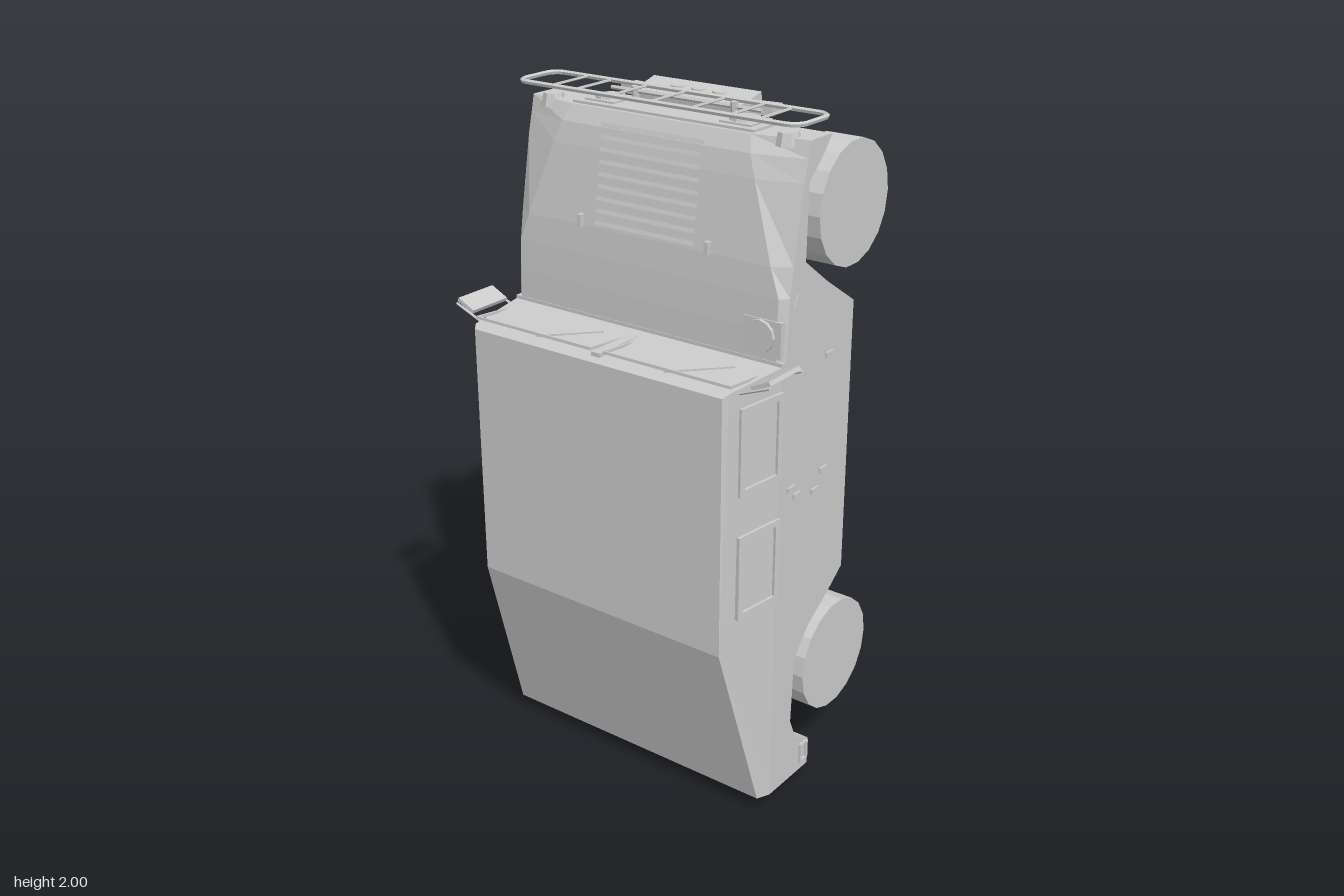
import * as THREE from 'three';

// The vehicle stands on its tail: +y is its nose, +z is its roof.
const mat = new THREE.MeshStandardMaterial({ color: 0xcccccc, flatShading: true, side: THREE.DoubleSide });

export function createModel() {
  const root = new THREE.Group();

  const add = (name, geo, x = 0, y = 0, z = 0) => {
    const m = new THREE.Mesh(geo, mat);
    m.name = name;
    m.position.set(x, y, z);
    root.add(m);
    return m;
  };
  const box = (name, x, y, z, w, h, d) => add(name, new THREE.BoxGeometry(w, h, d), x, y, z);

  // Tapered round bar between two points
  const bar = (name, a, b, r0, r1 = r0, sides = 6) => {
    const p = new THREE.Vector3(...a), q = new THREE.Vector3(...b);
    const m = add(name, new THREE.CylinderGeometry(r1, r0, p.distanceTo(q), sides));
    m.position.copy(p).add(q).multiplyScalar(0.5);
    m.quaternion.setFromUnitVectors(new THREE.Vector3(0, 1, 0), q.sub(p).normalize());
    return m;
  };

  // Side profile of [z, y] points extruded across the width
  const sideExtrude = (pts, width) => {
    const shape = new THREE.Shape(pts.map(p => new THREE.Vector2(...p)));
    const g = new THREE.ExtrudeGeometry(shape, { depth: width, bevelEnabled: false });
    return g.translate(0, 0, -width / 2).rotateY(-Math.PI / 2);
  };

  // Rings of [x, z] points joined at increasing y, with end caps
  const loft = (stations) => {
    const v = [], n = stations[0].ring.length;
    const put = (i, j) => v.push(stations[i].ring[j % n][0], stations[i].y, stations[i].ring[j % n][1]);
    for (let i = 0; i < stations.length - 1; i++) for (let j = 0; j < n; j++) {
      put(i, j); put(i + 1, j + 1); put(i, j + 1);
      put(i, j); put(i + 1, j); put(i + 1, j + 1);
    }
    const last = stations.length - 1;
    for (let j = 1; j < n - 1; j++) {
      put(last, 0); put(last, j + 1); put(last, j);
      put(0, 0); put(0, j); put(0, j + 1);
    }
    const g = new THREE.BufferGeometry();
    g.setAttribute('position', new THREE.Float32BufferAttribute(v, 3));
    g.computeVertexNormals();
    return g;
  };

  // Rectangular frame lying in XY, with a rectangular hole
  const frame = (w, h, t, depth) => {
    const rect = (C, a, b) => new C([[-a, -b], [a, -b], [a, b], [-a, b]].map(p => new THREE.Vector2(...p)));
    const s = rect(THREE.Shape, w / 2, h / 2);
    s.holes.push(rect(THREE.Path, w / 2 - t, h / 2 - t));
    return new THREE.ExtrudeGeometry(s, { depth, bevelEnabled: false }).translate(0, 0, -depth / 2);
  };

  // Lower body with the rear wheel arch
  add('lowerBody', sideExtrude([[0.15, 1.38], [0.15, 0.03], [-0.05, 0.03], [-0.05, 0.12], [0.02, 0.16],
    [0.05, 0.23], [0.04, 0.44], [-0.03, 0.52], [-0.135, 0.59], [-0.2, 0.64], [-0.2, 1.38]], 0.92));

  // Cabin, leaning inward towards the roof
  const cabin = sideExtrude([[0.15, 1.37], [0.35, 1.355], [0.365, 1.345], [0.365, 0.59], [0.205, 0.045], [0.15, 0.03]], 0.92);
  const cp = cabin.attributes.position;
  const halfAt = z => 0.46 - 0.13 * Math.max(0, z - 0.15) - (z > 0.36 ? 0.008 : 0);
  for (let i = 0; i < cp.count; i++) cp.setX(i, Math.sign(cp.getX(i)) * halfAt(cp.getZ(i)));
  cabin.computeVertexNormals();
  add('cabin', cabin);

  // Bonnet and fenders: y, arch height, edge height, crease half width, top height
  const hood = [[1.38, -0.2, 0.13, 0.44, 0.148], [1.46, -0.2, 0.125, 0.44, 0.147], [1.55, -0.06, 0.12, 0.44, 0.143],
    [1.63, 0.05, 0.108, 0.41, 0.138], [1.84, 0.045, 0.07, 0.335, 0.108], [1.9, -0.02, 0.055, 0.312, 0.096],
    [1.945, -0.055, 0.045, 0.297, 0.075]];
  add('bonnet', loft(hood.map(([y, zb, ze, c, zt]) => ({
    y, ring: [[0.46, zb], [0.46, ze], [c, zt], [-c, zt], [-0.46, ze], [-0.46, zb]]
  }))));

  // Bonnet louvres, following the slope
  for (let i = 0; i < 9; i++) {
    const y = 1.645 + i * 0.033;
    box('louvre', 0, y, 0.137 - 0.14 * Math.max(0, y - 1.64), 0.33, 0.011, 0.012).rotation.x = -0.3;
  }
  box('airIntakeBase', 0.395, 1.44, 0.135, 0.12, 0.1, 0.03);
  add('airIntake', new THREE.CylinderGeometry(0.045, 0.045, 0.03, 12).rotateX(Math.PI / 2), 0.392, 1.445, 0.145);

  // Nose panel and lamps
  box('nosePanel', 0, 1.945, 0.003, 0.6, 0.014, 0.12);
  for (const s of [-1, 1]) {
    box('headlampHousing', s * 0.225, 1.95, -0.008, 0.1, 0.014, 0.1);
    add('headlamp', new THREE.CylinderGeometry(0.042, 0.045, 0.012, 10), s * 0.225, 1.958, -0.008);
    add('cornerLamp', new THREE.CylinderGeometry(0.028, 0.036, 0.035, 8), s * 0.39, 1.94, 0.04);
    add('bonnetHook', new THREE.BoxGeometry(0.012, 0.035, 0.02), s * 0.215, 1.645, 0.142);
  }

  // Front guard: rounded loop with rungs
  const W = 0.462, top = 0.11, low = -0.05, r = 0.035, loop = [];
  for (const [cx, cz, a0] of [[W - r, top - r, 0], [r - W, top - r, 1], [r - W, low + r, 2], [W - r, low + r, 3]])
    for (let k = 0; k <= 3; k++) {
      const a = (a0 + k / 3) * Math.PI / 2;
      loop.push(new THREE.Vector3(cx + r * Math.cos(a), 1.993, cz + r * Math.sin(a)));
    }
  const path = new THREE.CurvePath();
  loop.forEach((p, i) => path.add(new THREE.LineCurve3(p, loop[(i + 1) % loop.length])));
  add('guardLoop', new THREE.TubeGeometry(path, 160, 0.007, 5, true));
  for (const x of [-0.34, -0.255, -0.13, 0, 0.13, 0.255, 0.34])
    bar('guardRung', [x, 1.993, low], [x, 1.993, top], 0.004, 0.004, 5);
  bar('guardRail', [-0.25, 1.975, -0.045], [0.25, 1.975, -0.045], 0.006);

  // Winch bumper below the nose
  add('winchBumper', sideExtrude([[-0.05, 1.98], [-0.09, 1.985], [-0.145, 2.0], [-0.15, 1.975], [-0.115, 1.965], [-0.1, 1.88], [-0.06, 1.88]], 0.36));
  for (const s of [-1, 1]) {
    box('bumperEnd', s * 0.215, 1.965, -0.115, 0.07, 0.025, 0.06).rotation.y = s * 0.12;
    bar('guardBracket', [s * 0.165, 1.9, -0.05], [s * 0.165, 1.99, -0.04], 0.01);
  }
  for (const x of [-0.07, 0, 0.07])
    add('bumperHole', new THREE.CylinderGeometry(0.024, 0.024, 0.008, 12), x, 1.988, -0.115);

  // Windscreen panes and wipers
  for (const s of [-1, 1]) {
    const pane = add('windscreenPane', frame(0.415, 0.19, 0.006, 0.008), s * 0.228, 1.364, 0.25);
    pane.rotation.x = -Math.PI / 2 - 0.08;
    bar('wiper', [s * 0.22 - 0.0, 1.363, 0.34], [s * 0.22 + 0.14, 1.37, 0.215], 0.004, 0.003, 4);
  }
  box('screenPillar', 0, 1.362, 0.25, 0.03, 0.012, 0.2);

  // Side windows, door details and mirrors
  for (const s of [-1, 1]) {
    for (const y of [1.178, 0.81]) {
      const g = new THREE.Group();
      g.name = 'sideWindow';
      const rim = new THREE.Mesh(frame(0.165, 0.25, 0.018, 0.014), mat);
      rim.name = 'windowFrame';
      g.add(rim);
      g.position.set(s * 0.451, y, 0.228);
      g.rotation.y = s * (Math.PI / 2 - 0.13);
      root.add(g);
    }
    for (const [y, z] of [[1.34, -0.08], [1.0, -0.07], [0.97, 0.06], [1.0, 0.09], [0.95, -0.03]])
      box('doorHandle', s * 0.462, y, z, 0.008, 0.015, 0.035);
    box('sideVent', s * 0.461, 1.52, 0.05, 0.012, 0.035, 0.1).rotation.x = -0.4;
    add('tailLamp', frame(0.04, 0.065, 0.008, 0.012).rotateY(Math.PI / 2), s * 0.461, 0.088, -0.022);
    const mirror = box('mirror', s * 0.505, 1.383, 0.245, 0.062, 0.012, 0.14);
    mirror.rotation.z = s * 0.45;
    for (const z of [0.17, 0.318]) bar('mirrorArm', [s * 0.445, 1.35, z], [s * 0.535, 1.385, z], 0.004, 0.004, 5);
  }

  // Wheels, axles, struts and differentials
  for (const y of [0.34, 1.73]) {
    for (const s of [-1, 1]) {
      add('wheel', new THREE.CylinderGeometry(0.174, 0.174, 0.115, 18).rotateZ(Math.PI / 2), s * 0.395, y, -0.195);
      bar('axleHalf', [s * 0.05, y, -0.205], [s * 0.34, y, -0.215], 0.024, 0.02, 8);
      bar('strut', [s * 0.29, y, -0.19], [s * 0.325, y, 0.06], 0.02, 0.02, 8);
    }
    add('differential', new THREE.SphereGeometry(0.068, 8, 6), 0, y, -0.195);
  }

  // Chassis boxes between the wheels
  box('rearChassis', 0, 0.37, -0.045, 0.4, 0.44, 0.17);
  box('frontChassis', 0, 1.67, -0.04, 0.38, 0.44, 0.16);
  box('engineSump', 0, 1.64, -0.14, 0.24, 0.22, 0.09);
  box('frontCrossMember', 0, 1.51, -0.17, 0.34, 0.07, 0.12);
  box('rearCrossMember', 0, 0.6, -0.19, 0.24, 0.04, 0.06);
  for (const s of [-1, 1]) box('frameRail', s * 0.095, 1.05, -0.211, 0.018, 0.92, 0.025);

  // Drive shaft
  bar('frontShaft', [0, 1.14, -0.215], [0, 1.5, -0.215], 0.026, 0.018, 8);
  bar('midShaft', [0, 0.72, -0.215], [0, 1.14, -0.215], 0.014, 0.014, 8);
  box('transferCase', 0, 0.885, -0.22, 0.065, 0.135, 0.05);
  bar('rearShaft', [0, 0.58, -0.2], [0, 0.75, -0.215], 0.032, 0.02, 8);
  bar('shaftCone', [0, 0.4, -0.195], [0, 0.58, -0.195], 0.06, 0.026, 8);

  // Rear hitch
  box('hitchBar', 0, 0.1, -0.1, 0.46, 0.03, 0.025);
  for (const s of [-1, 1]) {
    bar('hitchPost', [s * 0.2, 0.04, -0.108], [s * 0.2, 0.15, -0.1], 0.02, 0.012);
    add('hitchFoot', new THREE.CylinderGeometry(0.035, 0.025, 0.025, 8), s * 0.2, 0.03, -0.108);
  }
  bar('towHook', [0, 0, -0.108], [0, 0.16, -0.1], 0.014, 0.018);

  return root;
}
